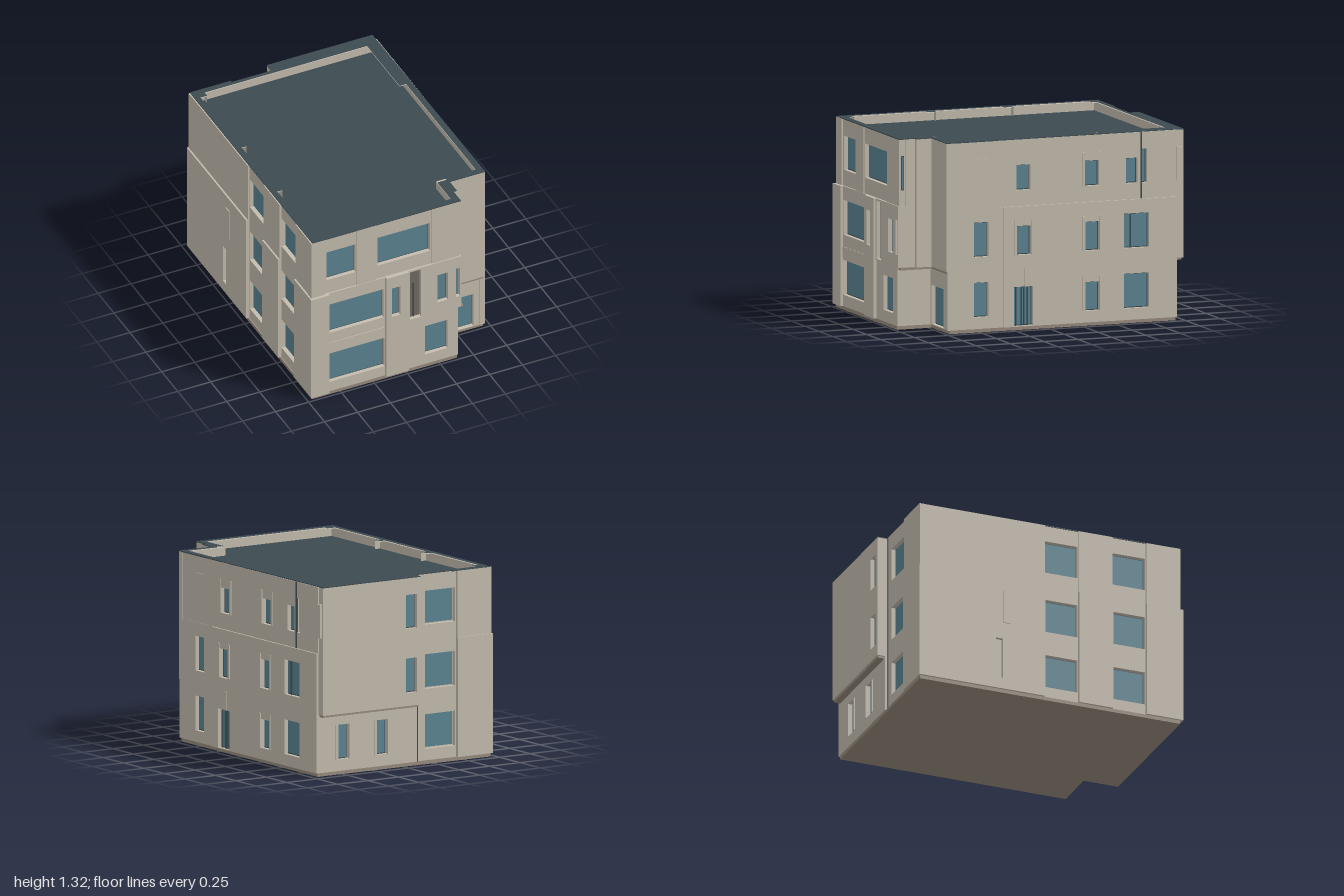
import * as THREE from 'three';

const mat = (name, color) => new THREE.MeshStandardMaterial({ name, color });

export function createModel() {
  const wall = mat('stone wall', 0xc4bcae);
  const glass = mat('window glass', 0x5b8492);
  const dark = mat('roof and frames', 0x3c4a50);
  const base = mat('plinth', 0x968a7d);
  const shade = mat('niche', 0x706a61);
  const model = new THREE.Group();
  model.name = 'building';

  const add = (parent, name, geometry, material) => {
    const m = new THREE.Mesh(geometry, material);
    m.name = name;
    parent.add(m);
    return m;
  };
  const box = (parent, name, material, x0, x1, y0, y1, z0, z1) => {
    const m = add(parent, name, new THREE.BoxGeometry(x1 - x0, y1 - y0, z1 - z0), material);
    m.position.set((x0 + x1) / 2, (y0 + y1) / 2, (z0 + z1) / 2);
    return m;
  };

  // Horizontal slab from a plan outline of [x, z] points, with an optional opening
  const toVec = (pts) => pts.map(([x, z]) => new THREE.Vector2(x, -z));
  const slab = (name, material, pts, y0, y1, opening) => {
    const s = new THREE.Shape(toVec(pts));
    if (opening) s.holes.push(new THREE.Path(toVec(opening)));
    const g = new THREE.ExtrudeGeometry(s, { depth: y1 - y0, bevelEnabled: false });
    g.rotateX(-Math.PI / 2).translate(0, y0, 0);
    return add(model, name, g, material);
  };

  // Each side has its own frame: local z points outward; sign turns plan coordinates into local x
  const sides = {
    front: { turn: 0, sign: 1, inner: 0.93 },
    right: { turn: Math.PI / 2, sign: -1, inner: 0.67 },
    back: { turn: Math.PI, sign: -1, inner: 0.9 },
    left: { turn: -Math.PI / 2, sign: 1, inner: 0.67 },
  };
  for (const [name, s] of Object.entries(sides)) {
    s.group = new THREE.Group();
    s.group.name = name + 'Side';
    s.group.rotation.y = s.turn;
    model.add(s.group);
  }
  const span = (s, a, b) => [Math.min(a * s.sign, b * s.sign), Math.max(a * s.sign, b * s.sign)];

  // Raised or flush plate on a side
  const plate = (side, name, material, a, b, y0, y1, d0, d1) => {
    const s = sides[side];
    const [u0, u1] = span(s, a, b);
    return box(s.group, name, material, u0, u1, y0, y1, d0, d1);
  };

  // Wall panel with real openings; each opening gets a frame and a glass pane set back
  const facade = (side, name, a, b, y0, y1, dist, openings = [], inner = sides[side].inner) => {
    const s = sides[side];
    const [u0, u1] = span(s, a, b);
    const rect = (l, r, lo, hi) => [[l, lo], [r, lo], [r, hi], [l, hi]].map((p) => new THREE.Vector2(...p));
    const shape = new THREE.Shape(rect(u0, u1, y0, y1));
    for (const [c, d, w0, w1, kind] of openings) {
      const [h0, h1] = span(s, c, d);
      shape.holes.push(new THREE.Path(rect(h0, h1, w0, w1).reverse()));
      const z = dist - 0.03;
      if (kind === 'niche') {
        box(s.group, 'niche', shade, h0, h1, w0, w1, z - 0.006, z);
        continue;
      }
      box(s.group, 'windowFrame', dark, h0, h1, w0, w1, z - 0.006, z);
      const e = Math.min(0.007, (h1 - h0) * 0.15);
      box(s.group, 'windowGlass', glass, h0 + e, h1 - e, w0 + e, w1 - e, z, z + 0.004);
    }
    const g = new THREE.ExtrudeGeometry(shape, { depth: dist - inner, bevelEnabled: false });
    add(s.group, name, g, wall).position.z = inner;
  };

  // Storey heights
  const G = [0.105, 0.345], M = [0.52, 0.76], T = [0.965, 1.2];
  const LOW = 0.025, MID = 0.43, BAND = 0.855, TOP = 1.315;

  // Core, plinth and roof
  const core = [[-0.67, -0.9], [0.67, -0.9], [0.67, 0.7], [0.36, 0.7], [0.36, 0.93], [-0.67, 0.93]];
  const outline = [[-0.71, -0.945], [-0.4, -0.945], [-0.4, -0.93], [-0.1, -0.93], [-0.1, -1], [0.7, -1],
    [0.71, 0.747], [0.44, 0.747], [0.44, 0.86], [0.415, 0.86], [0.415, 0.977], [-0.71, 0.977]];
  const opening = [[-0.67, -0.86], [-0.62, -0.86], [-0.62, -0.9], [0.61, -0.9], [0.61, -0.39], [0.66, -0.39],
    [0.66, 0.7], [0.43, 0.7], [0.43, 0.72], [0.36, 0.72], [0.36, 0.93], [-0.61, 0.93], [-0.61, 0.89],
    [-0.67, 0.89], [-0.67, 0.34], [-0.63, 0.34], [-0.63, 0.28], [-0.67, 0.28], [-0.67, -0.22],
    [-0.63, -0.22], [-0.63, -0.29], [-0.67, -0.29]];
  slab('core', wall, core, 0.02, 1.25);
  slab('roofDeck', dark, core, 1.25, 1.256);
  slab('parapet', wall, outline.map(([x, z]) => [x * 0.985, z * 0.985]), 1.25, TOP, opening);
  slab('parapetCap', dark, outline, 1.314, 1.32, opening);
  slab('plinth', base, [[-0.715, -0.94], [0.705, -0.94], [0.705, 0.725], [0.385, 0.725],
    [0.385, 0.98], [-0.715, 0.98]], 0, LOW);

  // Front: upper storey, lower bays and projecting piers
  facade('front', 'frontUpperWall', -0.71, 0.4, BAND, TOP, 0.97, [[-0.6, -0.38, ...T], [-0.215, 0.185, ...T]]);
  plate('front', 'upperPier', wall, -0.72, -0.615, BAND, TOP, 0.93, 0.98);
  plate('front', 'upperPier', wall, -0.375, -0.225, BAND, TOP, 0.93, 0.977);
  plate('front', 'upperPier', wall, 0.195, 0.4, BAND, TOP, 0.93, 0.977);
  facade('front', 'frontLowerBay', -0.6, -0.16, LOW, BAND, 0.98,
    [[-0.585, -0.172, ...M], [-0.595, -0.165, ...G]]);
  plate('front', 'cornerPier', wall, -0.73, -0.59, LOW, BAND, 0.93, 1);
  plate('front', 'bayBand', wall, -0.59, -0.17, 0.36, 0.437, 0.96, 0.985);
  facade('front', 'frontPier', -0.16, 0.012, LOW, BAND, 1, [[-0.12, -0.055, ...M]]);
  facade('front', 'frontRightUpper', 0.012, 0.415, MID, BAND, 0.985,
    [[0.025, 0.11, 0.44, 0.84, 'niche'], [0.235, 0.312, 0.52, 0.75], [0.372, 0.405, ...M]]);
  facade('front', 'frontRightLower', 0.012, 0.39, LOW, MID, 0.98, [[0.14, 0.312, ...G]]);
  plate('front', 'nicheSlit', dark, 0.06, 0.068, 0.44, 0.72, 0.955, 0.962);

  // Corner recess at the front
  facade('front', 'recessUpperWall', 0.36, 0.71, MID, TOP, 0.747, [], 0.7);
  facade('front', 'recessLowerWall', 0.36, 0.71, LOW, MID, 0.735, [[0.41, 0.627, 0.03, 0.3]], 0.68);
  facade('right', 'recessSideInner', 0.7, 0.86, MID, TOP, 0.44, [], 0.36);
  facade('right', 'recessSideOuter', 0.86, 0.93, MID, TOP, 0.415, [], 0.36);
  facade('right', 'recessSideEnd', 0.93, 0.975, BAND, TOP, 0.41, [], 0.36);
  facade('right', 'recessSideLower', 0.7, 0.93, LOW, MID, 0.39, [], 0.36);
  plate('right', 'recessSlit', dark, 0.942, 0.962, ...T, 0.408, 0.413);
  plate('right', 'recessSlitGlass', glass, 0.945, 0.955, 0.97, 1.195, 0.412, 0.415);
  box(model, 'recessLedge', base, 0.38, 0.432, 0.415, 0.432, 0.73, 0.972);
  box(model, 'recessLedge', base, 0.38, 0.7, 0.415, 0.432, 0.7, 0.742);

  // Right side
  facade('right', 'rightUpperWall', -0.95, 0.747, BAND, TOP, 0.708, [[0.13, 0.235, 0.965, 1.14],
    [-0.375, -0.27, 0.965, 1.14], [-0.66, -0.575, 0.965, 1.14], [-0.73, -0.68, ...T]]);
  facade('right', 'rightLowerWall', -0.945, 0.33, LOW, BAND, 0.72, [
    [0.13, 0.235, 0.52, 0.72], [-0.375, -0.27, 0.52, 0.72], [-0.74, -0.555, ...M],
    [0.115, 0.255, 0.03, 0.3], [-0.375, -0.27, 0.105, 0.305], [-0.74, -0.555, ...G]]);
  facade('right', 'rightFrontWall', 0.33, 0.74, LOW, BAND, 0.71, [[0.44, 0.545, ...M], [0.44, 0.545, ...G]]);
  plate('right', 'blindPanel', wall, 0.44, 0.545, ...T, 0.7, 0.712);
  plate('right', 'cornerPanel', wall, -0.985, -0.945, ...T, 0.7, 0.716);
  plate('right', 'upperGroove', dark, -0.69, -0.682, BAND, TOP, 0.7, 0.712);
  for (const z of [0.145, 0.17, 0.19, 0.23]) plate('right', 'doorBar', dark, z, z + 0.008, 0.03, 0.3, 0.692, 0.702);
  plate('right', 'doorPier', wall, 0.15, 0.18, 0.3, 0.43, 0.71, 0.724);
  plate('right', 'windowMullion', dark, -0.615, -0.605, ...M, 0.692, 0.702);

  // Slim jambs either side of the right windows
  for (const [z0, z1] of [[0.13, 0.235], [-0.375, -0.27]]) {
    for (const [lo, hi, d] of [[...T, 0.708], [...M, 0.72], [...G, 0.72]]) {
      if (z0 > 0 && lo < 0.2) continue;
      plate('right', 'windowJamb', wall, z0 - 0.02, z0, lo, hi, d - 0.02, d + 0.006);
      plate('right', 'windowJamb', wall, z1, z1 + 0.02, lo, hi, d - 0.02, d + 0.006);
    }
  }

  // Back: overhanging upper block, recessed ground floor and the window bay
  facade('back', 'backUpperWall', -0.1, 0.7, MID, TOP, 1, [[-0.07, 0.02, ...T], [-0.07, 0.02, ...M]]);
  for (const [lo, hi] of [T, M]) plate('back', 'backPanel', wall, 0.025, 0.13, lo + 0.06, hi + 0.02, 0.98, 1);
  facade('back', 'backLowerWall', -0.1, 0.71, LOW, MID, 0.945, [[0.45, 0.54, ...G], [0.135, 0.225, ...G]]);
  for (const x of [0.43, 0.54, 0.115, 0.225]) plate('back', 'windowJamb', wall, x, x + 0.02, ...G, 0.93, 0.951);
  plate('back', 'overhangLedge', base, -0.09, 0.695, 0.415, 0.432, 0.92, 0.99);
  facade('back', 'backWindowBay', -0.45, -0.1, LOW, TOP, 0.93,
    [T, M, G].map((h) => [-0.43, -0.185, ...h]));
  plate('back', 'backGroove', dark, -0.125, -0.117, LOW, TOP, 0.92, 0.934);
  plate('back', 'backCornerPier', wall, -0.72, -0.44, BAND, TOP, 0.9, 0.945);
  plate('back', 'backCornerPier', wall, -0.73, -0.44, LOW, BAND, 0.9, 0.952);

  // Left side: two window columns between projecting piers
  facade('left', 'leftWall', -0.93, 0.96, LOW, TOP, 0.705,
    [T, M, G].flatMap((h) => [[-0.015, 0.225, ...h], [0.485, 0.725, ...h]]));
  for (const [z0, z1] of [[-0.945, -0.02], [0.23, 0.48], [0.73, 0.975]]) {
    plate('left', 'upperPier', wall, z0, z1, BAND, TOP, 0.69, 0.718);
    if (z0 > 0) plate('left', 'lowerPier', wall, z0, z1, LOW, BAND, 0.69, 0.73);
  }
  facade('left', 'lowerPier', -0.945, -0.02, LOW, BAND, 0.73, [[-0.385, -0.335, 0.105, 0.4]], 0.69);
  plate('left', 'blindSlit', wall, -0.33, -0.28, ...M, 0.7, 0.736);
  return model;
}
